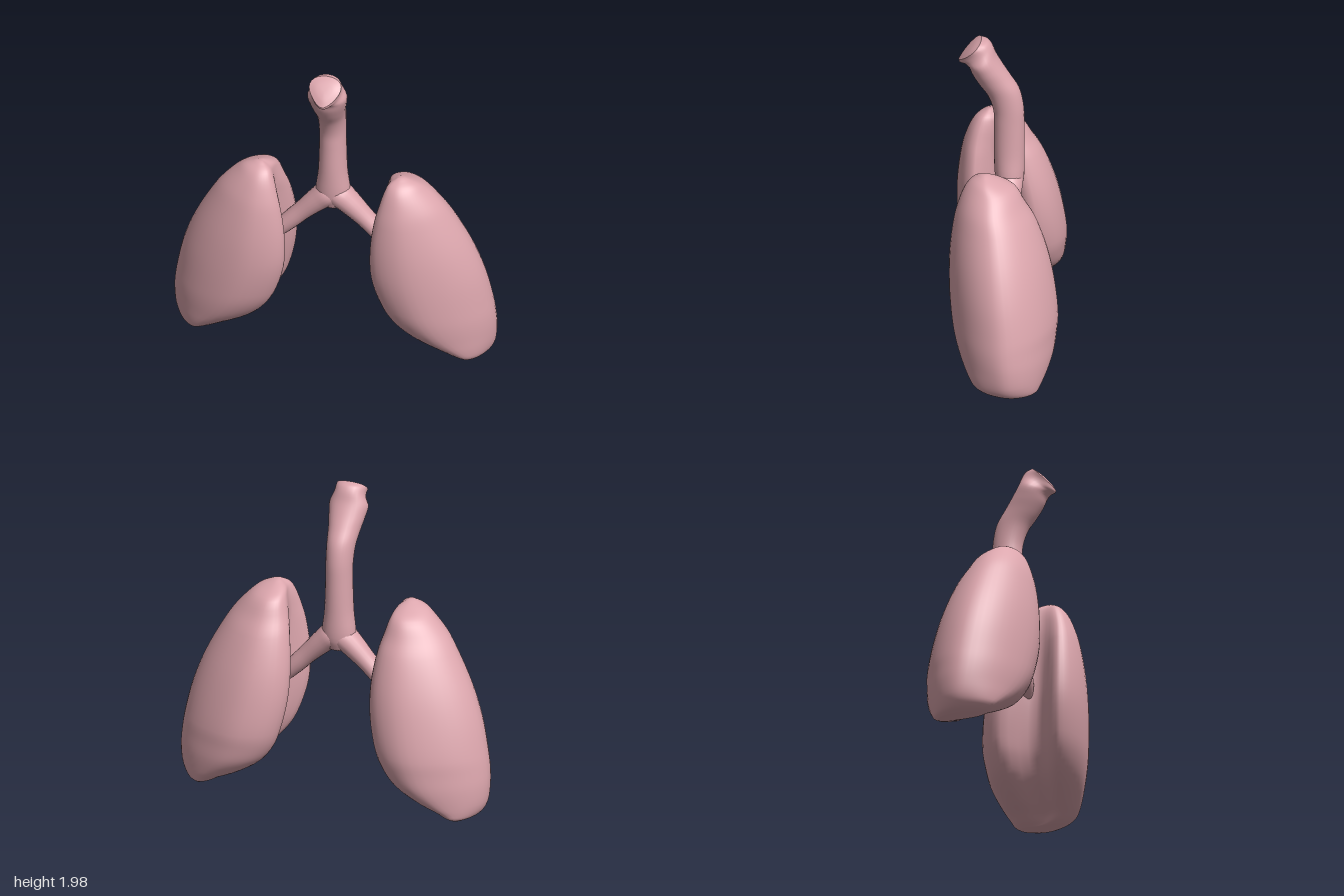
import * as THREE from 'three';

const V = (x, y, z) => new THREE.Vector3(x, y, z);

// Skin through closed rings, smoothed lengthwise; each end closes on its centre.
function loft(rings, steps, flip, capStart = true, capEnd = true) {
  const n = rings[0].length;
  const columns = rings[0].map((_, j) => new THREE.CatmullRomCurve3(rings.map((r) => r[j])));
  const pos = [];
  const index = [];
  const tri = (a, b, c) => (flip ? index.push(a, c, b) : index.push(a, b, c));
  for (let i = 0; i <= steps; i++) {
    for (const c of columns) pos.push(...c.getPoint(i / steps).toArray());
  }
  for (let i = 0; i < steps; i++) {
    for (let j = 0; j < n; j++) {
      const k = (j + 1) % n;
      const a = i * n + j, b = i * n + k;
      tri(a, a + n, b);
      tri(b, a + n, b + n);
    }
  }
  const cap = (ring, start, end) => {
    const centre = ring.reduce((s, p) => s.add(p), V(0, 0, 0)).divideScalar(n);
    const m = pos.length / 3;
    pos.push(...centre.toArray());
    for (let j = 0; j < n; j++) {
      const a = start + j, b = start + ((j + 1) % n);
      if (end) tri(a, m, b);
      else tri(a, b, m);
    }
  };
  if (capStart) cap(rings[0], 0, false);
  if (capEnd) cap(rings[rings.length - 1], steps * n, true);
  const g = new THREE.BufferGeometry();
  g.setAttribute('position', new THREE.Float32BufferAttribute(pos, 3));
  g.setIndex(index);
  g.computeVertexNormals();
  return g;
}

// Lung levels: y, inner x, outer x, front z, back z, groove depth, front skew
const LUNG = [
  [1.285, 0.42, 0.46, 0.14, 0.10, 0, 0],
  [1.25, 0.37, 0.54, 0.20, 0.02, 0.02, 0],
  [1.2, 0.345, 0.60, 0.24, -0.07, 0.05, 0],
  [1.1, 0.315, 0.69, 0.28, -0.13, 0.10, 0],
  [1.0, 0.29, 0.755, 0.305, -0.19, 0.15, 0],
  [0.8, 0.265, 0.86, 0.33, -0.265, 0.19, 0],
  [0.6, 0.272, 0.935, 0.333, -0.31, 0.19, 0],
  [0.4, 0.315, 0.98, 0.315, -0.333, 0.19, 0.04],
  [0.3, 0.355, 0.995, 0.295, -0.325, 0.20, 0.08],
  [0.2, 0.43, 1.0, 0.26, -0.31, 0.22, 0.14],
  [0.1, 0.58, 0.99, 0.205, -0.27, 0.24, 0.24],
  [0.05, 0.69, 0.97, 0.165, -0.24, 0.22, 0.25],
  [0.018, 0.75, 0.94, 0.11, -0.22, 0.15, 0.2],
  [0.0, 0.80, 0.89, 0.0, -0.19, 0, 0],
];

// Cross-section with a rounded outer side and a hollow on the inner side
function lungRing([y, xi, xo, zf, zb, groove, skew], s) {
  const outline = [
    [0, 0.62], [0.09, 0.86], [0.36, 1], [0.68, 0.8], [0.91, 0.42], [1, 0],
    [0.91, -0.42], [0.68, -0.8], [0.36, -1], [0.1, -0.82], [0, -0.45], [groove, 0.12],
  ];
  const curve = new THREE.CatmullRomCurve3(outline.map(([u, v]) => {
    const w = u + skew * Math.max(0, v) * (1 - u);
    return V(s * (xi + w * (xo - xi)), y, (zf + zb) / 2 + v * (zf - zb) / 2);
  }), true);
  return curve.getPoints(48).slice(0, 48);
}

// Windpipe levels: front z, front y, back z, back y, half width, widening to the back
const PIPE = [
  [0.05, 0.95, -0.07, 0.95, 0.07, 0],
  [0.075, 1.02, -0.095, 1.02, 0.105, 0],
  [0.085, 1.2, -0.1, 1.2, 0.09, 0],
  [0.085, 1.4, -0.1, 1.4, 0.083, 0],
  [0.09, 1.5, -0.095, 1.53, 0.083, 0],
  [0.125, 1.6, -0.07, 1.64, 0.088, 0],
  [0.18, 1.68, -0.015, 1.73, 0.1, 0],
  [0.22, 1.75, 0.03, 1.8, 0.115, 0],
  [0.24, 1.8, 0.07, 1.87, 0.122, 0],
  [0.265, 1.815, 0.095, 1.935, 0.1, 0.1],
  [0.295, 1.82, 0.12, 1.965, 0.092, 0.3],
  [0.3, 1.835, 0.16, 1.975, 0.093, 0.4],
];

function pipeRing([fz, fy, bz, by, rx, widen], size = 1, bulge = 0) {
  return Array.from({ length: 28 }, (_, j) => {
    const t = (j / 28) * Math.PI * 2;
    const c = Math.cos(t) * size, d = Math.sin(t) * size;
    return V(
      -0.015 + c * rx * (1 - widen * Math.sin(t)),
      (fy + by) / 2 + d * (fy - by) / 2 + bulge,
      (fz + bz) / 2 + d * (fz - bz) / 2 + bulge,
    );
  });
}

// Branch levels: x, y, radius
const BRANCH = [
  [-0.03, 1.05, 0.06], [0.03, 1.03, 0.08], [0.09, 0.98, 0.074], [0.19, 0.882, 0.06],
  [0.27, 0.8, 0.056], [0.35, 0.72, 0.048], [0.4, 0.66, 0.025],
];

function branchRing([x, y, r], i, s) {
  const a = BRANCH[Math.max(0, i - 1)], b = BRANCH[Math.min(BRANCH.length - 1, i + 1)];
  const dir = new THREE.Vector2(b[0] - a[0], b[1] - a[1]).normalize();
  return Array.from({ length: 20 }, (_, j) => {
    const t = (j / 20) * Math.PI * 2;
    const c = Math.cos(t) * r;
    return V(s * (x - dir.y * c) - 0.008, y + dir.x * c, -0.005 + Math.sin(t) * r * 1.1);
  });
}

export function createModel() {
  const model = new THREE.Group();
  model.name = 'lungs';
  const tissue = new THREE.MeshStandardMaterial({ color: 0xdca6ad });
  tissue.name = 'pink tissue';
  const add = (name, geometry) => {
    const mesh = new THREE.Mesh(geometry, tissue);
    mesh.name = name;
    model.add(mesh);
  };

  // Windpipe and its slightly domed upper end
  add('windpipe', loft(PIPE.map((p) => pipeRing(p)), 48, false, true, false));
  const rim = PIPE[PIPE.length - 1];
  add('windpipeEnd', loft([pipeRing(rim), pipeRing(rim, 0.6, 0.008), pipeRing(rim, 0.2, 0.011)], 6, false, false, true));

  // Mirrored lungs and branches
  for (const [side, s] of [['left', 1], ['right', -1]]) {
    add(side + 'Lung', loft(LUNG.map((l) => lungRing(l, s)), 52, s < 0));
    add(side + 'Branch', loft(BRANCH.map((b, i) => branchRing(b, i, s)), 24, s > 0));
  }
  return model;
}
